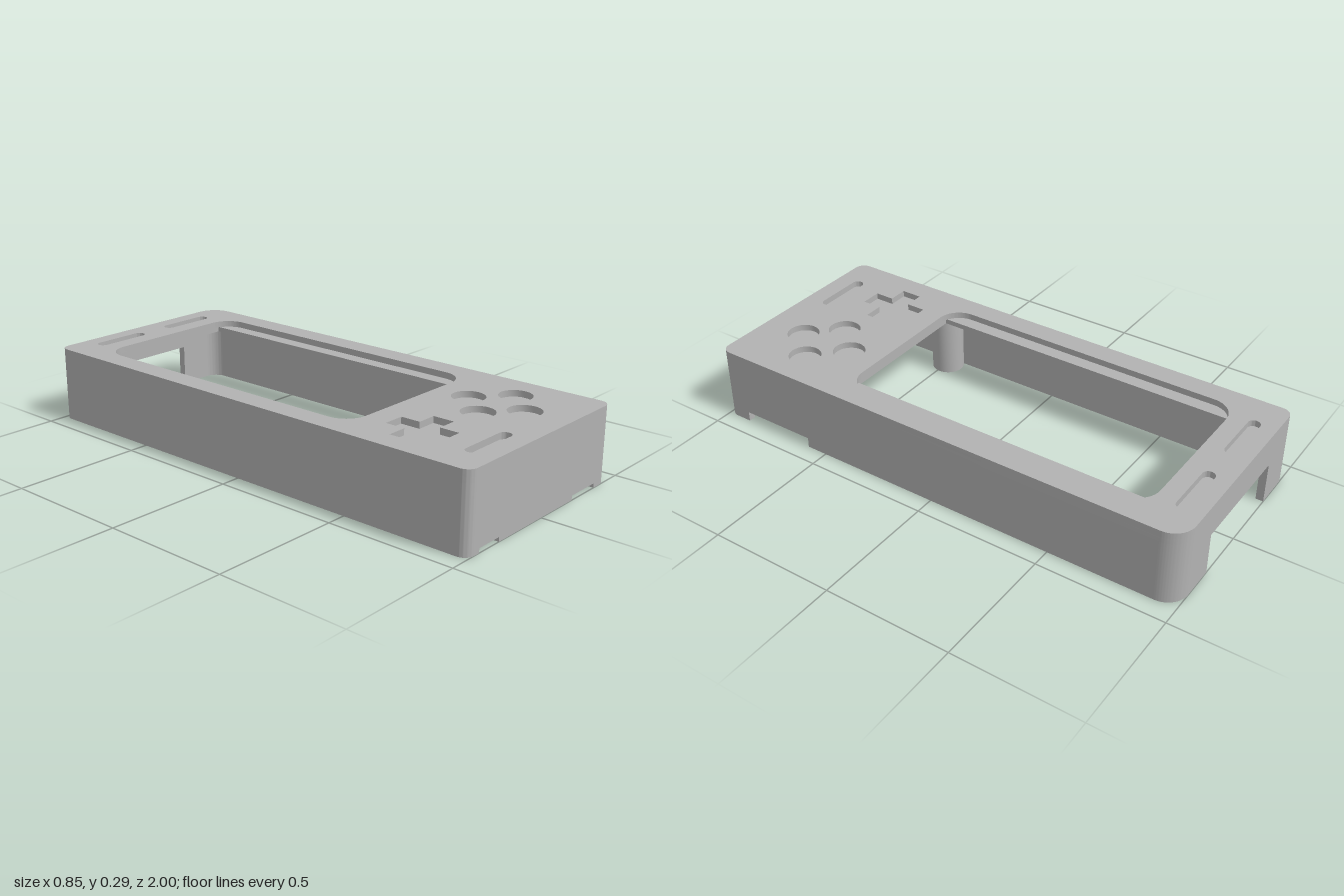
import * as THREE from 'three';
import { toCreasedNormals } from 'three/addons/utils/BufferGeometryUtils.js';

const W = 0.427, L = 1, H = 0.295, T = 0.03;   // half width, half length, height, wall
const FLOOR = 0.25, POCKET = 0.27;             // underside of the face, floor of its pockets
const R = 0.04, BIG = 0.085;                   // corner radii, one corner is larger

const plastic = new THREE.MeshStandardMaterial({ color: 0xb2b2b2 });
plastic.name = 'grey plastic';

// Rounded rectangle in plan; radii run back right, back left, front left, front right.
function roundedRect(path, x0, x1, z0, z1, radii) {
  const [a, b, c, d] = radii, q = Math.PI / 2;
  const bottom = -z1, top = -z0;
  path.moveTo(x1, top - a);
  path.absarc(x1 - a, top - a, a, 0, q);
  path.absarc(x0 + b, top - b, b, q, 2 * q);
  path.absarc(x0 + c, bottom + c, c, 2 * q, 3 * q);
  path.absarc(x1 - d, bottom + d, d, 3 * q, 4 * q);
  path.closePath();
  return path;
}

const bodyOutline = () => roundedRect(new THREE.Shape(), -W, W, -L, L, [BIG, R, R, R]);

function polygon(PathClass, points) {
  return new PathClass(points.map(([x, y]) => new THREE.Vector2(x, y)));
}

function extrude(shape, depth) {
  return new THREE.ExtrudeGeometry(shape, { depth, bevelEnabled: false, curveSegments: 14 });
}

// Plan shape raised from y0 to y1.
function slab(shape, y0, y1) {
  return extrude(shape, y1 - y0).rotateX(-Math.PI / 2).translate(0, y0, 0);
}

// Wall elevation with notches [start, end, height] cut from its lower edge.
function panel(u0, u1, notches = []) {
  const points = [[u0, 0]];
  for (const [a, b, h] of notches) points.push([a, 0], [a, h], [b, h], [b, 0]);
  points.push([u1, 0], [u1, FLOOR], [u0, FLOOR]);
  return extrude(polygon(THREE.Shape, points), T);
}

// Quarter ring joining two walls.
function corner(x, z, r, start) {
  const inner = r - T, end = start + Math.PI / 2;
  const cx = x - Math.sign(x) * r, cy = -z + Math.sign(z) * r;
  const shape = new THREE.Shape();
  shape.absarc(cx, cy, r, start, end, false);
  shape.absarc(cx, cy, inner, end, start, true);
  shape.closePath();
  return slab(shape, 0, FLOOR);
}

export function createModel() {
  const model = new THREE.Group();
  model.name = 'handheldCase';
  const add = (name, geometry) => {
    const mesh = new THREE.Mesh(toCreasedNormals(geometry, 0.6), plastic);
    mesh.name = name;
    model.add(mesh);
    return mesh;
  };

  // Upper face layer with window, button and slot openings
  const face = bodyOutline();
  face.holes.push(roundedRect(new THREE.Path(), -0.338, 0.335, -0.82, 0.445, [0.09, 0.09, 0.09, 0.09]));
  for (const [x, z] of [[0.155, 0.585], [0.155, 0.82], [0.04, 0.705], [0.275, 0.705]]) {
    face.holes.push(new THREE.Path().absarc(x, -z, 0.063, 0, Math.PI * 2));
  }
  for (const [x, z] of [[-0.182, -0.915], [0.177, -0.915], [-0.182, 0.9]]) {
    const r = 0.0235;
    face.holes.push(roundedRect(new THREE.Path(), x - 0.117, x + 0.117, z - r, z + r, [r, r, r, r]));
  }
  const px = -0.217, pz = -0.66, arm = 0.12, half = 0.042;
  face.holes.push(polygon(THREE.Path, [
    [arm, -half], [arm, half], [half, half], [half, arm], [-half, arm], [-half, half],
    [-arm, half], [-arm, -half], [-half, -half], [-half, -arm], [half, -arm], [half, -half],
  ].map(([x, y]) => [px + x, pz + y])));
  add('facePlate', slab(face, POCKET, H));

  // Lower face layer: pocket floors and the side ledges of the window
  const ledge = bodyOutline();
  ledge.holes.push(polygon(THREE.Path, [[-0.285, -0.445], [0.28, -0.445], [0.28, 0.82], [-0.285, 0.82]]));
  add('windowLedgePlate', slab(ledge, FLOOR, POCKET));

  // Walls with their notches
  add('frontWall', panel(-W + R, W - R, [[-0.36, -0.25, 0.017], [0.197, 0.345, 0.017]])
    .translate(0, 0, L - T));
  add('backWall', panel(-W + R, W - BIG, [[-0.25, 0.21, 0.165]]).translate(0, 0, -L));
  add('leftWall', panel(-L + BIG, L - R, [[0.585, 0.895, 0.04]])
    .rotateY(-Math.PI / 2).translate(W, 0, 0));
  add('rightWall', panel(-L + R, L - R).rotateY(-Math.PI / 2).translate(-W + T, 0, 0));

  // Rounded corners
  const q = Math.PI / 2;
  add('backLeftCorner', corner(W, -L, BIG, 0));
  add('backRightCorner', corner(-W, -L, R, q));
  add('frontRightCorner', corner(-W, L, R, 2 * q));
  add('frontLeftCorner', corner(W, L, R, 3 * q));

  // Hollow screw posts with a countersunk mouth
  const profile = [[0, 0.2], [0.035, 0.2], [0.035, 0.02], [0.05, 0.02], [0.05, 0], [0.065, 0], [0.065, FLOOR]];
  for (const [x, z] of [[-0.355, 0.49], [0.355, 0.49], [0, 0.92]]) {
    const post = new THREE.LatheGeometry(profile.map(([r, y]) => new THREE.Vector2(r, y)), 32);
    add('screwPost', post).position.set(x, 0, z);
  }
  return model;
}
